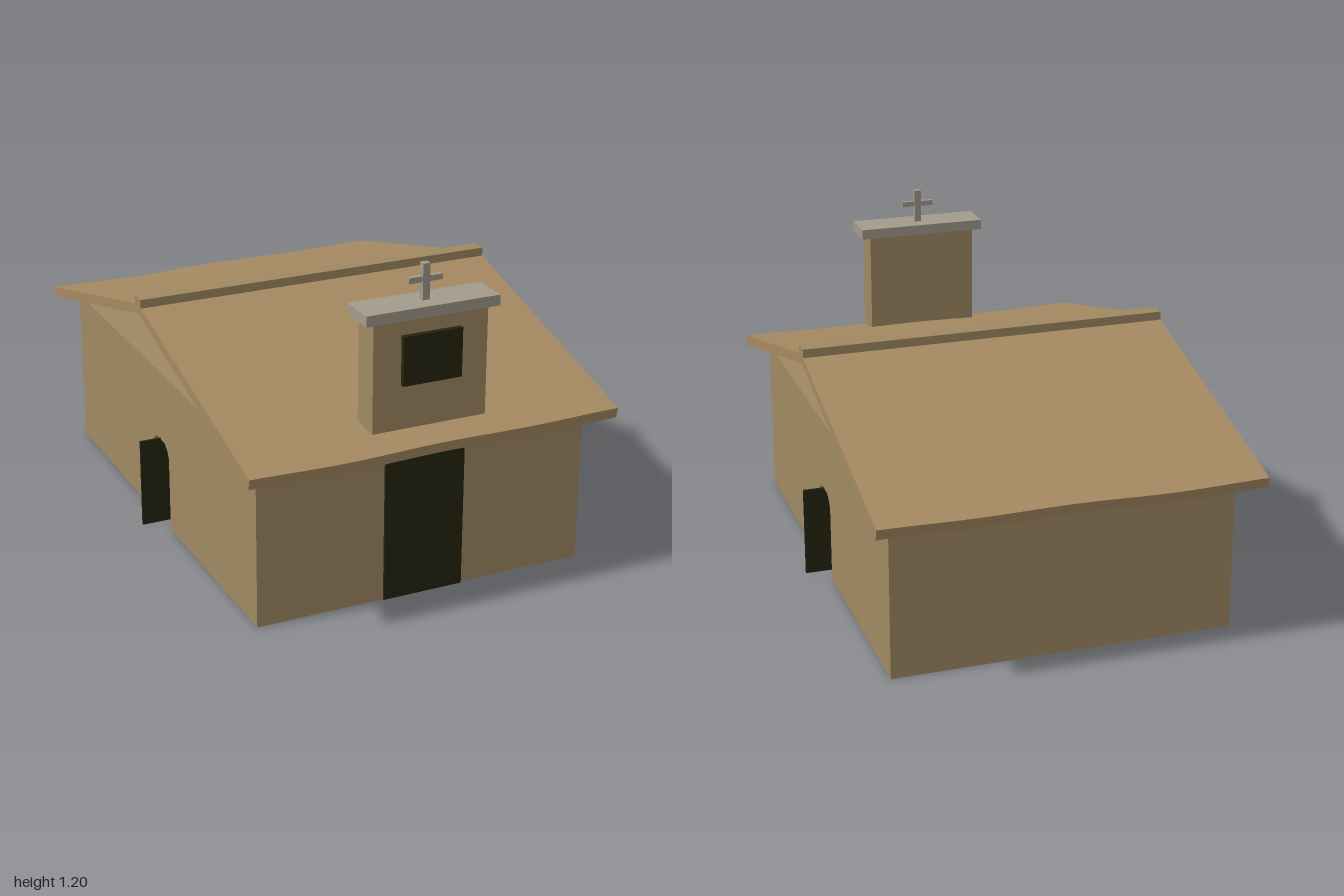
import * as THREE from 'three';
import { toCreasedNormals } from 'three/addons/utils/BufferGeometryUtils.js';

const mat = (name, color) => {
  const m = new THREE.MeshStandardMaterial({ color });
  m.name = name;
  return m;
};

export function createModel() {
  const adobe = mat('adobe', 0xa08962);
  const clay = mat('roof clay', 0xa68a62);
  const stone = mat('grey stone', 0xa39b8c);
  const dark = mat('dark wood', 0x24240f);

  const model = new THREE.Group();
  model.name = 'chapel';

  const add = (name, geometry, material, x = 0, y = 0, z = 0, turn = 0) => {
    const mesh = new THREE.Mesh(geometry, material);
    mesh.name = name;
    mesh.position.set(x, y, z);
    mesh.rotation.y = turn;
    model.add(mesh);
    return mesh;
  };
  // Box given by its centre x, z and its lower and upper heights
  const box = (name, material, w, y0, y1, d, x = 0, z = 0) =>
    add(name, new THREE.BoxGeometry(w, y1 - y0, d), material, x, (y0 + y1) / 2, z);

  const W = 0.62, D = 0.885, H = 0.6, T = 0.11;

  // Wall panel with an arched doorway; its outer face lies at z = 0
  const archedWall = (width, half, spring, top) => {
    const rise = top - spring;
    const side = [[1, 0], [0.83, 0.55], [0.5, 1]].map(([u, v]) => [u * half, spring + v * rise]);
    const s = new THREE.Shape();
    s.moveTo(-width / 2, 0);
    s.lineTo(-half, 0);
    side.forEach(([x, y]) => s.lineTo(-x, y));
    [...side].reverse().forEach(([x, y]) => s.lineTo(x, y));
    s.lineTo(half, 0);
    s.lineTo(width / 2, 0);
    s.lineTo(width / 2, H);
    s.lineTo(-width / 2, H);
    s.closePath();
    return new THREE.ExtrudeGeometry(s, { depth: T, bevelEnabled: false }).translate(0, 0, -T);
  };

  // Walls and ceiling
  add('frontWall', archedWall(2 * W, 0.148, 0.42, 0.54), adobe, 0, 0, D);
  box('backWall', adobe, 2 * W, 0, H, T, 0, -D + T / 2);
  for (const [label, s] of [['left', 1], ['right', -1]]) {
    add(label + 'Wall', archedWall(2 * (D - T), 0.082, 0.283, 0.33), adobe, s * W, 0, 0, s * Math.PI / 2);
    // Side doors stand open, at right angles to the wall
    box(label + 'Door', dark, 0.16, 0, 0.335, 0.009, s * W, 0);
  }
  box('ceiling', adobe, 2 * (W - T), H - 0.006, H, 2 * (D - T));
  box('frontDoor', dark, 0.3, 0, 0.55, 0.008, 0, D + 0.004);

  // Gabled roof with slightly uneven eaves
  const section = new THREE.Shape([
    [1, 0.604], [0, 0.868], [-1, 0.604], [-0.99, 0.565], [0, 0.832], [0.99, 0.565],
  ].map(([x, y]) => new THREE.Vector2(x, y)));
  let roof = new THREE.ExtrudeGeometry(section, { depth: 1.38, steps: 24, bevelEnabled: false });
  roof.translate(0, 0, -0.69).rotateY(Math.PI / 2);
  const p = roof.attributes.position;
  for (let i = 0; i < p.count; i++) {
    const wave = 0.003 * Math.cos(p.getX(i) * 9) + 0.002 * Math.sin(p.getX(i) * 4);
    p.setY(i, p.getY(i) + wave * Math.abs(p.getZ(i)));
  }
  roof = toCreasedNormals(roof, 0.3);
  add('roof', roof, clay);
  box('ridgeCap', adobe, 1.38, 0.845, 0.892, 0.06);

  // Bell tower over the front door
  box('tower', adobe, 0.424, 0.64, 1.03, 0.11, 0, 0.858);
  box('towerWindow', dark, 0.218, 0.8, 0.975, 0.02, 0, 0.922);
  box('towerCap', stone, 0.494, 1.03, 1.068, 0.14, 0, 0.861);
  box('crossPost', stone, 0.026, 1.068, 1.195, 0.024, 0, 0.861);
  box('crossBar', stone, 0.124, 1.13, 1.15, 0.016, 0, 0.861);

  return model;
}
